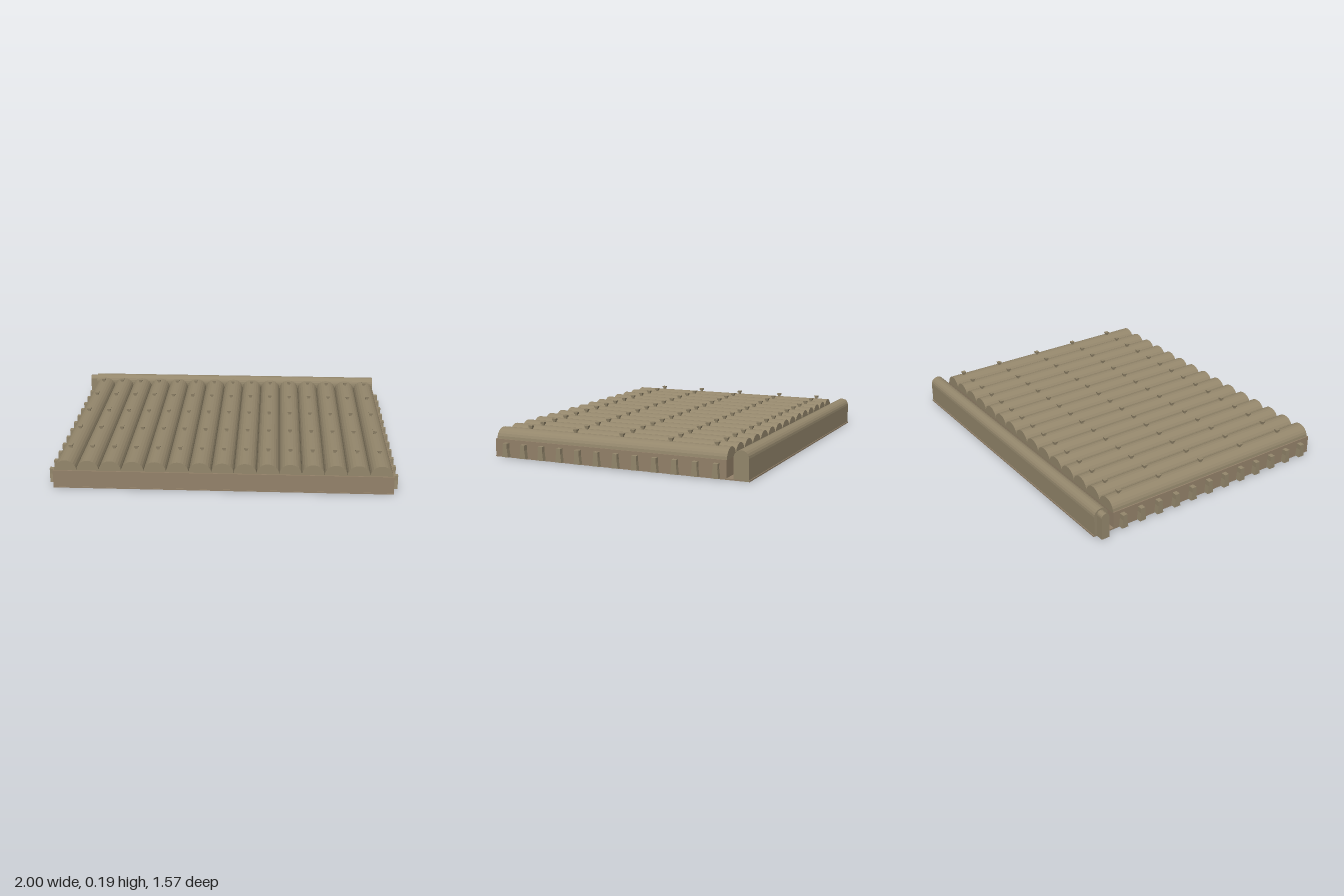
import * as THREE from 'three';

export function createModel() {
  const model = new THREE.Group();
  const wood = new THREE.MeshStandardMaterial({ color: 0x94876c, flatShading: true });
  const plank = new THREE.MeshStandardMaterial({ color: 0x94826a, flatShading: true });

  const add = (name, geometry, material, x = 0, y = 0, z = 0, parent = model) => {
    const mesh = new THREE.Mesh(geometry, material);
    mesh.name = name;
    mesh.position.set(x, y, z);
    parent.add(mesh);
    return mesh;
  };
  const group = (name) => {
    const g = new THREE.Group();
    g.name = name;
    model.add(g);
    return g;
  };
  const box = (name, x0, x1, y0, y1, z0, z1, material) =>
    add(name, new THREE.BoxGeometry(x1 - x0, y1 - y0, z1 - z0), material,
      (x0 + x1) / 2, (y0 + y1) / 2, (z0 + z1) / 2);

  // Round-topped bar, standing on y = 0 and running along +z
  const archedBar = (halfWidth, straight, rise, length, sides) => {
    const shape = new THREE.Shape();
    shape.moveTo(-halfWidth, 0);
    shape.lineTo(halfWidth, 0);
    for (let i = 0; i <= sides; i++) {
      const a = Math.PI * i / sides;
      shape.lineTo(halfWidth * Math.cos(a), straight + rise * Math.sin(a));
    }
    return new THREE.ExtrudeGeometry(shape, { depth: length, bevelEnabled: false });
  };

  // Square block whose top and bottom widths differ
  const taperedBlock = (top, bottom, height) =>
    new THREE.CylinderGeometry(top / Math.SQRT2, bottom / Math.SQRT2, height, 4)
      .rotateY(Math.PI / 4);

  // Flat bottom and thick deck
  box('bottomPlate', -0.955, 0.968, 0, 0.008, -0.785, 0.785, plank);
  box('deckBase', -0.955, 0.968, 0.004, 0.105, -0.655, 0.783, plank);

  // Half-round logs, each with a row of flared studs
  const logs = group('logs');
  const studs = group('studs');
  const logGeometry = archedBar(0.064, 0.006, 0.06, 1.43, 12);
  const stemGeometry = taperedBlock(0.016, 0.012, 0.022);
  const headGeometry = taperedBlock(0.025, 0.021, 0.012);
  for (let i = 0; i < 15; i++) {
    const x = 0.0065 + (i - 7) * 0.1273;
    add('log', logGeometry, wood, x, 0.099, -0.655, logs);
    for (const z of [-0.575, -0.305, -0.007, 0.288, 0.585]) {
      add('studStem', stemGeometry, wood, x, 0.168, z, studs);
      add('studHead', headGeometry, wood, x, 0.179, z, studs);
    }
  }

  // Tapered pegs along both sides
  const pegs = group('sidePegs');
  const pegShape = new THREE.Shape([[-0.02, 0], [0.02, 0], [0.014, 0.05], [0.014, 0.08], [-0.014, 0.08], [-0.014, 0.05]]
    .map(([u, v]) => new THREE.Vector2(u, v)));
  const pegGeometry = new THREE.ExtrudeGeometry(pegShape, { depth: 0.034, bevelEnabled: false })
    .rotateY(Math.PI / 2);
  for (let i = 0; i < 12; i++) {
    const z = 0.705 - i * 0.1187;
    for (const x of [-0.986, 0.961]) add('sidePeg', pegGeometry, wood, x, 0.006, z, pegs);
  }

  // Round-topped beam across the back, with a tenon at one end
  add('backBeam', archedBar(0.043, 0.122, 0.043, 1.923, 10).rotateY(Math.PI / 2),
    wood, -0.955, 0, -0.737);
  add('beamTenon', archedBar(0.024, 0.131, 0.024, 0.05, 8).rotateY(Math.PI / 2),
    wood, -1, 0, -0.739);

  return model;
}
